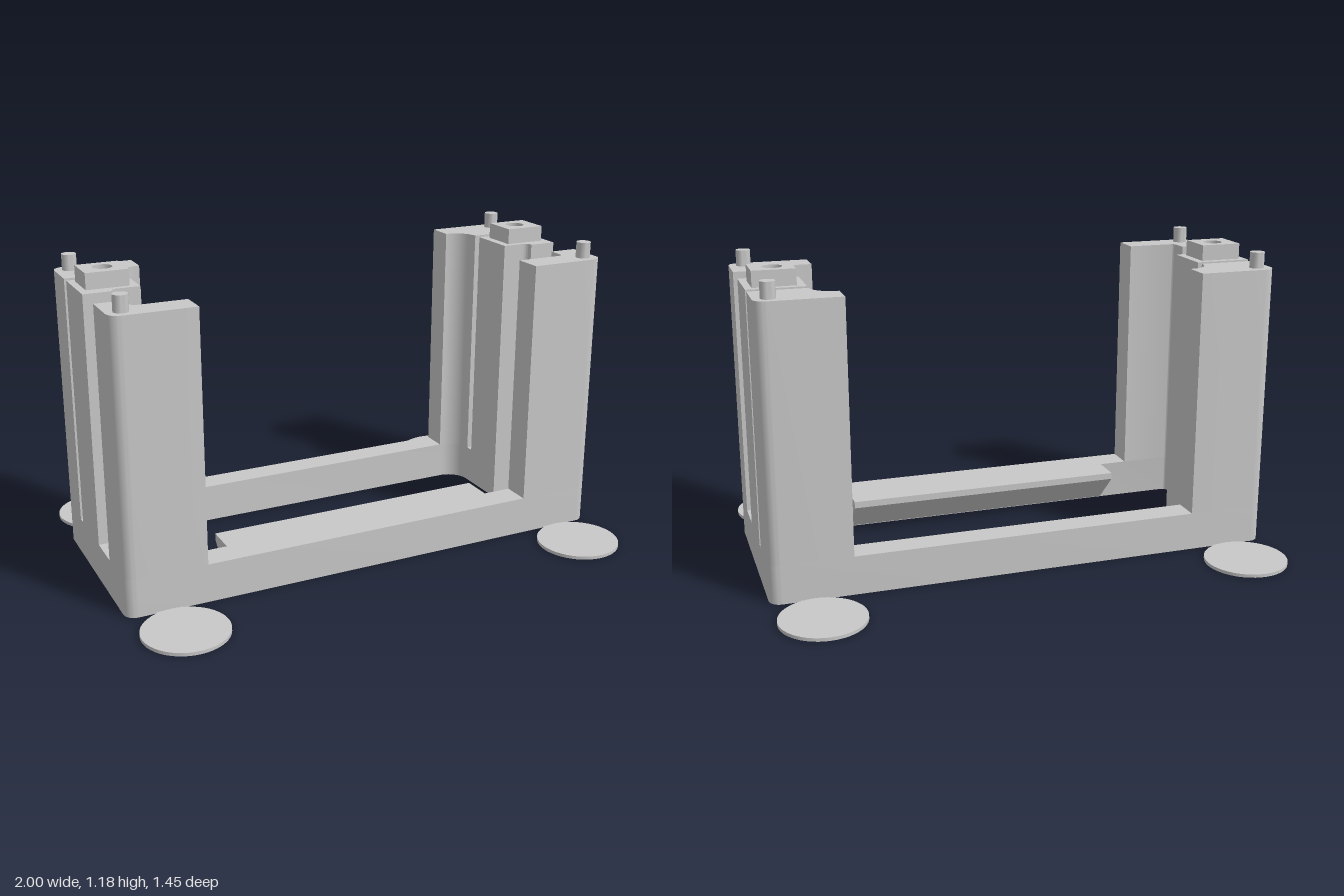
import * as THREE from 'three';
import { toCreasedNormals } from 'three/addons/utils/BufferGeometryUtils.js';

const BASE = 0.152, POST = 1.123, TIP = 1.185;
const FRONT = 0.39, BACK = -0.39;

// Closed outline from [x, z, cornerRadius] points, mirrored in x when s = -1.
function outline(points, s = 1, Type = THREE.Shape) {
  const path = new Type();
  const p = points.map(([x, z, r = 0]) => ({ v: new THREE.Vector2(x * s, -z), r }));
  p.forEach(({ v, r }, i) => {
    const toward = (o, d) => v.clone().add(o.clone().sub(v).setLength(d));
    const prev = p[(i + p.length - 1) % p.length].v, next = p[(i + 1) % p.length].v;
    const a = r ? toward(prev, r) : v;
    if (i === 0) path.moveTo(a.x, a.y); else path.lineTo(a.x, a.y);
    if (r) {
      const c1 = toward(prev, r * 0.448), c2 = toward(next, r * 0.448), b = toward(next, r);
      path.bezierCurveTo(c1.x, c1.y, c2.x, c2.y, b.x, b.y);
    }
  });
  path.closePath();
  return path;
}

function circle(x, z, r) {
  const path = new THREE.Path();
  path.absarc(x, -z, r, 0, Math.PI * 2, false);
  return path;
}

const rect = (x0, x1, z0, z1) => [[x0, z0], [x1, z0], [x1, z1], [x0, z1]];

export function createModel() {
  const group = new THREE.Group();
  const grey = new THREE.MeshStandardMaterial({ color: 0xc8c8c8 });
  grey.name = 'grey plastic';

  function add(name, geometry) {
    const mesh = new THREE.Mesh(toCreasedNormals(geometry, 0.6), grey);
    mesh.name = name;
    group.add(mesh);
    return mesh;
  }
  // Upright prism from a plan outline
  function prism(name, shape, y0, y1, holes = []) {
    shape.holes.push(...holes);
    const g = new THREE.ExtrudeGeometry(shape, { depth: y1 - y0, bevelEnabled: false, curveSegments: 10 });
    g.rotateX(-Math.PI / 2).translate(0, y0, 0);
    return add(name, g);
  }

  // Base frame with its stepped opening and screw recesses
  const half = [[0.778, -0.284, 0.085], [0.778, 0.03], [0.89, 0.03, 0.02], [0.89, 0.278, 0.02]];
  const opening = [...half, ...half.slice().reverse().map(([x, z, r]) => [-x, z, r])];
  prism('baseFrame',
    outline([[-1, FRONT, 0.045], [1, FRONT, 0.045], [1, BACK, 0.045], [-1, BACK, 0.045]]),
    0, BASE,
    [outline(opening, 1, THREE.Path), circle(0.888, -0.07, 0.055), circle(-0.888, -0.07, 0.055)]);

  // Front ledge: short lip with a sloping underside
  const ledge = new THREE.Shape([
    [0.278, BASE], [0.155, BASE], [0.155, 0.125], [0.278, 0.002],
  ].map(([z, y]) => new THREE.Vector2(-z, y)));
  const ledgeGeometry = new THREE.ExtrudeGeometry(ledge, { depth: 1.14, bevelEnabled: false });
  ledgeGeometry.rotateY(Math.PI / 2).translate(-0.57, 0, 0);
  add('frontLedge', ledgeGeometry);

  for (const s of [1, -1]) {
    const side = s > 0 ? 'left' : 'right';

    // Corner posts
    prism(side + 'FrontPost', outline([
      [0.685, 0.278], [0.89, 0.278, 0.02], [0.89, 0.2], [1, 0.2], [1, FRONT, 0.045], [0.685, FRONT],
    ], s), BASE, POST);
    prism(side + 'BackPost', outline([
      [0.685, BACK], [1, BACK, 0.045], [1, -0.198], [0.778, -0.198], [0.778, -0.284, 0.085], [0.685, -0.284],
    ], s), BASE, POST);

    // Middle column and its raised cap, bored through
    const bore = () => [circle(0.888 * s, -0.07, 0.037)];
    prism(side + 'MiddleColumn', outline([
      [0.778, -0.165], [1, -0.165], [1, 0.058], [0.89, 0.058], [0.89, 0.03, 0.02], [0.778, 0.03],
    ], s), BASE, POST, bore());
    prism(side + 'ColumnCap', outline(rect(0.811, 0.973, -0.138, 0.006), s), POST, TIP, bore());

    for (const f of [1, -1]) {
      const end = f > 0 ? 'Front' : 'Back';

      // Locating peg
      const peg = new THREE.CylinderGeometry(0.028, 0.028, TIP - POST, 24);
      add(side + end + 'Peg', peg).position.set(0.943 * s, (TIP + POST) / 2, 0.336 * f);

      // Thin round foot pad and the neck joining it to the frame
      const pad = new THREE.CylinderGeometry(0.162, 0.162, 0.013, 48);
      add(side + end + 'Pad', pad).position.set(0.838 * s, 0.0065, 0.563 * f);
      const neck = new THREE.BoxGeometry(0.1, 0.005, 0.05);
      add(side + end + 'Neck', neck).position.set(0.838 * s, 0.0025, 0.4 * f);
    }
  }
  return group;
}
